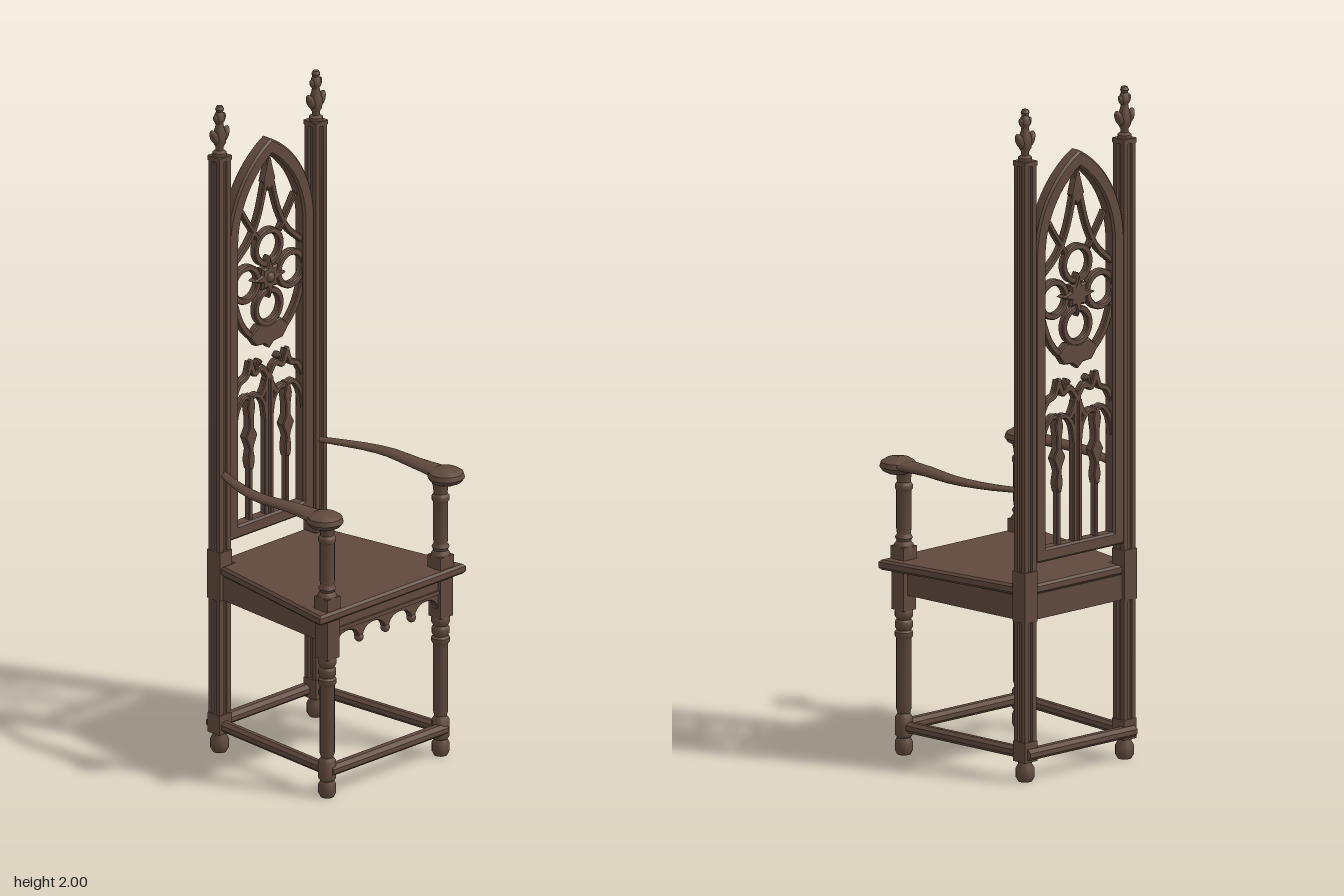
import * as THREE from 'three';
import { toCreasedNormals } from 'three/addons/utils/BufferGeometryUtils.js';

const V2 = (x, y) => new THREE.Vector2(x, y);

export function createModel() {
  const root = new THREE.Group();
  const wood = new THREE.MeshStandardMaterial({ color: 0x60493d });
  wood.name = 'darkWood';

  function add(name, geo, x = 0, y = 0, z = 0, parent = root) {
    const m = new THREE.Mesh(geo, wood);
    m.name = name;
    m.position.set(x, y, z);
    parent.add(m);
    return m;
  }
  const box = (name, w, h, d, x, y, z) => add(name, new THREE.BoxGeometry(w, h, d), x, y, z);
  const lathe = (pts, n = 16) =>
    toCreasedNormals(new THREE.LatheGeometry(pts.map(p => V2(...p)), n), 0.7);

  // bevelled plate centred on z = 0
  function plate(shape, depth, bevel = 0.004) {
    const g = new THREE.ExtrudeGeometry(shape, {
      depth: depth - 2 * bevel, bevelEnabled: bevel > 0, bevelSize: bevel, bevelOffset: -bevel,
      bevelThickness: bevel, bevelSegments: 1, curveSegments: 14
    });
    g.translate(0, 0, -depth / 2 + bevel);
    return toCreasedNormals(g, 0.5);
  }

  // straight rail with flat facets between two points
  function rail(name, a, b, w, h, sides) {
    const A = new THREE.Vector3(...a), B = new THREE.Vector3(...b), len = A.distanceTo(B);
    let g;
    if (sides) {
      g = new THREE.CylinderGeometry(1, 1, len, sides, 1, false, Math.PI / sides);
      g.rotateX(Math.PI / 2);
      g.scale(w / 2, h / 2, 1);
      g = toCreasedNormals(g, 0.3);
    } else g = new THREE.BoxGeometry(w, h, len);
    const m = add(name, g);
    m.position.copy(A).add(B).multiplyScalar(0.5);
    m.lookAt(B);
  }

  // seat: trapezoid board with a tongue between the rear posts
  const seat = new THREE.Shape([
    V2(-0.298, -0.262), V2(0.298, -0.262), V2(0.217, 0.222), V2(0.17, 0.222),
    V2(0.17, 0.266), V2(-0.17, 0.266), V2(-0.17, 0.222), V2(-0.217, 0.222)]);
  const seatGeo = plate(seat, 0.03, 0.007);
  seatGeo.rotateX(-Math.PI / 2);
  add('seat', seatGeo, 0, 0.567, 0);

  // front apron with four scalloped arches and small pendants
  const apron = new THREE.Shape();
  apron.moveTo(-0.215, 0.553);
  apron.lineTo(-0.215, 0.46);
  for (let i = 0; i < 4; i++) {
    const c = -0.1605 + i * 0.107;
    apron.lineTo(c - 0.046, 0.46);
    apron.absellipse(c, 0.462, 0.044, 0.034, Math.PI, 0, true);
    apron.lineTo(c + 0.046, 0.46);
  }
  apron.lineTo(0.215, 0.46);
  apron.lineTo(0.215, 0.553);
  add('frontApron', plate(apron, 0.022, 0.003), 0, 0, 0.228);
  box('apronMoulding', 0.45, 0.012, 0.03, 0, 0.513, 0.23);
  for (const x of [-0.107, 0, 0.107]) {
    add('apronPendant', new THREE.SphereGeometry(0.014, 10, 8), x, 0.46, 0.23);
  }
  box('backApron', 0.36, 0.075, 0.025, 0, 0.515, -0.25);

  // turned profiles
  const frontLeg = [[0, 0], [0.02, 0], [0.026, 0.012], [0.026, 0.038], [0.02, 0.05], [0.026, 0.058],
    [0.026, 0.11], [0.018, 0.122], [0.022, 0.135], [0.022, 0.345], [0.027, 0.352], [0.027, 0.364],
    [0.021, 0.37], [0.026, 0.378], [0.026, 0.395], [0.021, 0.402], [0.027, 0.412], [0.027, 0.425], [0.022, 0.435]];
  const armPost = [[0.028, 0.58], [0.028, 0.625], [0.021, 0.635], [0.026, 0.645], [0.02, 0.656],
    [0.022, 0.67], [0.022, 0.785], [0.026, 0.79], [0.026, 0.802], [0.02, 0.81], [0.022, 0.83], [0.026, 0.845]];
  const armKnob = [[0, 0.836], [0.03, 0.838], [0.046, 0.846], [0.054, 0.858], [0.05, 0.872], [0.034, 0.882], [0, 0.887]];
  const finial = [[0.021, 1.845], [0.021, 1.855], [0.012, 1.862], [0.012, 1.872], [0.019, 1.885], [0.02, 1.91],
    [0.013, 1.932], [0.011, 1.945], [0.017, 1.957], [0.014, 1.972], [0.01, 1.98], [0.013, 1.988], [0.009, 1.997], [0, 2.0]];
  const backFoot = [[0, 0], [0.02, 0], [0.027, 0.012], [0.027, 0.04], [0.02, 0.052], [0.02, 0.062]];

  // grooved square post section
  const r = 0.023, n = 0.008;
  const postShape = new THREE.Shape();
  for (let i = 0; i < 4; i++) {
    const rot = (x, y) => V2(x, y).rotateAround(V2(0, 0), i * Math.PI / 2);
    const corner = [rot(r, -r), rot(r, -n), rot(r - 0.006, -n + 0.003), rot(r - 0.006, n - 0.003), rot(r, n)];
    corner.forEach((p, k) => (i + k === 0 ? postShape.moveTo(p.x, p.y) : postShape.lineTo(p.x, p.y)));
  }
  const postGeo = new THREE.ExtrudeGeometry(postShape, { depth: 1.785, bevelEnabled: false });
  postGeo.rotateX(-Math.PI / 2);

  // arm stations: x, y, z, half width, half height
  const armStations = [
    [0.25, 0.864, 0.25, 0.001, 0.001], [0.25, 0.864, 0.245, 0.036, 0.014], [0.25, 0.864, 0.2, 0.038, 0.016],
    [0.25, 0.865, 0.15, 0.031, 0.015], [0.251, 0.865, 0.1, 0.027, 0.014], [0.256, 0.864, 0.05, 0.025, 0.013],
    [0.26, 0.863, 0, 0.0235, 0.012], [0.256, 0.862, -0.05, 0.0215, 0.011], [0.245, 0.861, -0.1, 0.0195, 0.01],
    [0.229, 0.86, -0.15, 0.018, 0.009], [0.209, 0.86, -0.2, 0.016, 0.008], [0.195, 0.86, -0.235, 0.015, 0.007]];
  function armGeometry(s) {
    const pos = [], idx = [], N = 12;
    armStations.forEach(([x, y, z, w, h], i) => {
      for (let j = 0; j < N; j++) {
        const a = j / N * Math.PI * 2;
        pos.push(s * x + w * Math.cos(a), y + h * Math.sin(a), z);
        if (i < armStations.length - 1) {
          const A = i * N + j, B = i * N + (j + 1) % N;
          idx.push(A, A + N, B, B, A + N, B + N);
        }
      }
    });
    const g = new THREE.BufferGeometry();
    g.setAttribute('position', new THREE.Float32BufferAttribute(pos, 3));
    g.setIndex(idx);
    g.computeVertexNormals();
    return g;
  }

  for (const s of [-1, 1]) {
    const fx = s * 0.232, fz = 0.225, bx = s * 0.197, bz = -0.247;
    add('frontLeg', lathe(frontLeg), fx, 0, fz);
    box('frontLegBlock', 0.05, 0.125, 0.05, fx, 0.493, fz);
    add('armPost', lathe(armPost), fx, 0, fz);
    box('armPostBase', 0.054, 0.04, 0.054, fx, 0.6, fz);
    add('armRest', armGeometry(s));
    add('armKnob', lathe(armKnob, 24), s * 0.248, 0, 0.232);

    add('backPost', postGeo, bx, 0.06, bz);
    add('backFoot', lathe(backFoot), bx, 0, bz);
    box('backPostBase', 0.05, 0.06, 0.05, bx, 0.09, bz);
    box('backPostBlock', 0.05, 0.15, 0.052, bx, 0.55, bz);
    box('backPostCap', 0.05, 0.014, 0.05, bx, 1.838, bz);

    // finial with side leaves
    add('finial', lathe(finial, 12), bx, 0, bz);
    for (const t of [-1, 1]) {
      for (const [dx, y, k] of [[0.021, 1.905, 1], [0.013, 1.957, 0.65]]) {
        const leaf = add('finialLeaf', new THREE.SphereGeometry(1, 10, 8), bx + t * dx, y, bz);
        leaf.scale.set(0.012 * k, 0.026 * k, 0.014 * k);
        leaf.rotation.z = -t * 0.45;
      }
    }

    rail('sideApron', [s * 0.232, 0.513, 0.22], [s * 0.197, 0.513, -0.24], 0.022, 0.072);
    rail('sideStretcher', [s * 0.232, 0.083, 0.225], [s * 0.197, 0.083, -0.247], 0.034, 0.036, 8);
  }
  rail('frontStretcher', [-0.235, 0.083, 0.235], [0.235, 0.083, 0.235], 0.044, 0.036, 8);
  rail('backStretcher', [-0.212, 0.083, -0.266], [0.212, 0.083, -0.266], 0.044, 0.036, 8);

  // back panel: frame with a pointed arch, and tracery inside it
  const back = new THREE.Group();
  back.name = 'backPanel';
  back.position.z = -0.25;
  root.add(back);
  function lancet(target, w, y0, spring, R) {
    const c = R - w, a = Math.acos(c / R);
    target.moveTo(-w, y0);
    target.lineTo(w, y0);
    target.lineTo(w, spring);
    target.absarc(-c, spring, R, 0, a, false);
    target.absarc(c, spring, R, Math.PI - a, Math.PI, false);
    target.lineTo(-w, y0);
    return target;
  }
  const frame = lancet(new THREE.Shape(), 0.176, 0.645, 1.55, 0.336);
  frame.holes.push(lancet(new THREE.Path(), 0.133, 0.685, 1.55, 0.293));
  add('backFrame', plate(frame, 0.042, 0.006), 0, 0, 0, back);

  // curved bar of constant width through a few points
  function rib(name, pts, w = 0.016) {
    const curve = new THREE.SplineCurve(pts.map(p => V2(...p)));
    const left = [], right = [], K = 6 * (pts.length - 1);
    for (let i = 0; i <= K; i++) {
      const p = curve.getPoint(i / K), t = curve.getTangent(i / K);
      left.push(V2(p.x - t.y * w / 2, p.y + t.x * w / 2));
      right.unshift(V2(p.x + t.y * w / 2, p.y - t.x * w / 2));
    }
    add(name, plate(new THREE.Shape([...left, ...right]), 0.022, 0.003), 0, 0, 0, back);
  }
  const ribs = (name, pts, w) => [-1, 1].forEach(s => rib(name, pts.map(([x, y]) => [s * x, y]), w));

  // quatrefoil rings and central flower
  for (const [x, y] of [[0, 1.507], [0, 1.323], [-0.092, 1.415], [0.092, 1.415]]) {
    const ring = new THREE.Shape().absarc(x, y, 0.06, 0, Math.PI * 2);
    ring.holes.push(new THREE.Path().absarc(x, y, 0.041, 0, Math.PI * 2));
    add('quatrefoilRing', plate(ring, 0.022, 0.003), 0, 0, 0, back);
  }
  const star = new THREE.Shape();
  for (let i = 0; i < 16; i++) {
    const a = i * Math.PI / 8, R = [0.066, 0.034, 0.046, 0.034][i % 4];
    i ? star.lineTo(R * Math.cos(a), R * Math.sin(a)) : star.moveTo(R, 0);
  }
  add('flower', plate(star, 0.032, 0.006), 0, 1.415, 0, back);
  add('flowerBoss', new THREE.SphereGeometry(0.018, 14, 10), 0, 1.415, 0.008, back);

  // upper tracery
  ribs('upperRib', [[0, 1.775], [0.018, 1.69], [0.042, 1.61], [0.078, 1.545], [0.14, 1.49]], 0.018);
  ribs('upperCusp', [[0.11, 1.645], [0.088, 1.61], [0.064, 1.575], [0.045, 1.545]], 0.015);
  add('apexFill', plate(new THREE.Shape([V2(-0.026, 1.715), V2(0, 1.68), V2(0.026, 1.715), V2(0, 1.8)]), 0.022, 0.003), 0, 0, 0, back);

  // curved web beneath the quatrefoil
  const web = new THREE.Shape([V2(-0.08, 1.248), V2(-0.055, 1.215), V2(-0.02, 1.212), V2(0, 1.195), V2(0.02, 1.212),
    V2(0.055, 1.215), V2(0.08, 1.248), V2(0.045, 1.278), V2(0, 1.266), V2(-0.045, 1.278)]);
  add('web', plate(web, 0.024, 0.003), 0, 0, 0, back);
  ribs('lowerArc', [[0.06, 1.24], [0.09, 1.268], [0.115, 1.305], [0.136, 1.36]], 0.02);

  // twin ogee arches over the lower lights
  ribs('ogeeArch', [[0.138, 1.08], [0.118, 1.115], [0.088, 1.13], [0.074, 1.172]], 0.018);
  ribs('ogeeArch', [[0, 1.105], [0.028, 1.142], [0.058, 1.13], [0.074, 1.172]], 0.018);
  ribs('ogeeCusp', [[0.05, 1.14], [0.042, 1.165], [0.03, 1.155]], 0.012);
  ribs('lightArch', [[0.138, 0.975], [0.128, 1.03], [0.1, 1.065], [0.074, 1.06], [0.045, 1.06], [0.02, 1.03], [0.01, 0.975]], 0.016);
  ribs('archLink', [[0.03, 1.05], [0.014, 1.08], [0, 1.12]], 0.018);

  // mullions, with small capitals and diamond bosses on the side pair
  rib('centreMullion', [[0, 0.68], [0, 1.1]], 0.036);
  rib('centreBead', [[0, 0.68], [0, 1.1]], 0.01);
  back.children.at(-1).scale.z = 1.45;
  for (const s of [-1, 1]) {
    rib('sideMullion', [[s * 0.075, 0.68], [s * 0.075, 1.06]], 0.015);
    const side = [[0.008, 0.84], [0.013, 0.86], [0.013, 0.875], [0.008, 0.9], [0.012, 0.915], [0.024, 0.942],
      [0.01, 0.968], [0.01, 1.0], [0.016, 1.035], [0.006, 1.07]];
    const boss = new THREE.Shape([...side.map(p => V2(...p)), ...side.map(([x, y]) => V2(-x, y)).reverse()]);
    add('mullionBoss', plate(boss, 0.028, 0.003), s * 0.075, 0, 0, back);
  }
  return root;
}
